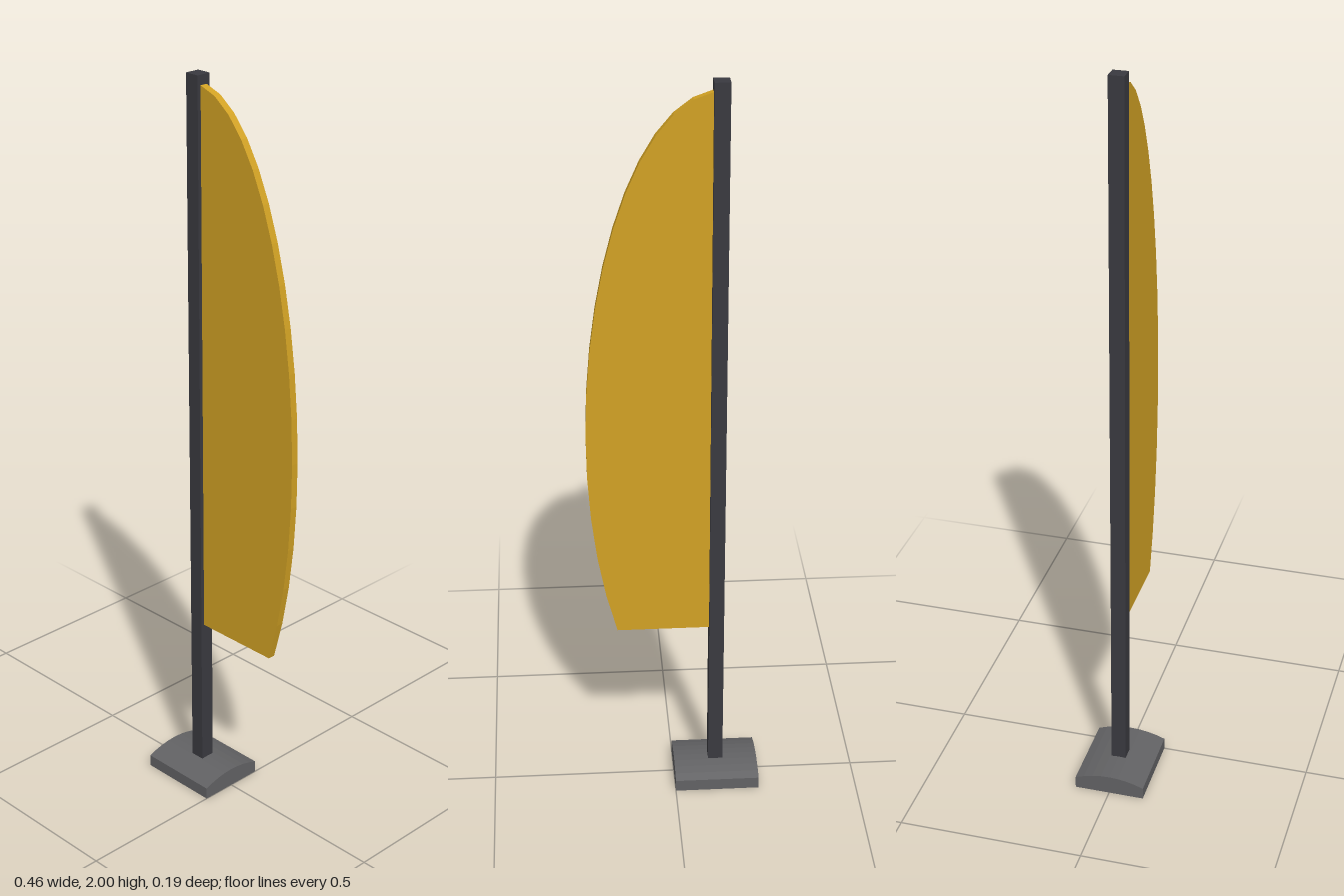
import * as THREE from 'three';

const gold = new THREE.MeshStandardMaterial({ name: 'gold cloth', color: 0xd2a224 });
const dark = new THREE.MeshStandardMaterial({ name: 'dark pole', color: 0x3a3a40 });
const grey = new THREE.MeshStandardMaterial({ name: 'grey base', color: 0x626264 });

const POLE_X = -0.115;

// Extrude a shape to the given depth, centred on z = 0
function slab(shape, depth, curveSegments) {
  const geometry = new THREE.ExtrudeGeometry(shape, { depth, curveSegments, bevelEnabled: false });
  return geometry.translate(0, 0, -depth / 2);
}

export function createModel() {
  const group = new THREE.Group();
  const add = (name, geometry, material) => {
    const mesh = new THREE.Mesh(geometry, material);
    mesh.name = name;
    group.add(mesh);
    return mesh;
  };

  // Base: block with a gently arched top, its profile running front to back
  const profile = new THREE.Shape();
  profile.moveTo(-0.095, 0);
  profile.lineTo(0.095, 0);
  profile.lineTo(0.095, 0.033);
  profile.quadraticCurveTo(0, 0.071, -0.095, 0.033);
  profile.closePath();
  const base = add('base', slab(profile, 0.23, 8), grey);
  base.rotation.y = Math.PI / 2;
  base.position.x = POLE_X;

  // Square pole
  const pole = add('pole', new THREE.BoxGeometry(0.04, 1.98, 0.04), dark);
  pole.position.set(POLE_X, 1.01, 0);

  // Feather-shaped banner
  const outline = new THREE.Shape();
  outline.moveTo(-0.097, 0.48);
  outline.lineTo(0.152, 0.48);
  outline.bezierCurveTo(0.325, 1.05, 0.18, 1.93, -0.097, 1.975);
  outline.closePath();
  add('banner', slab(outline, 0.02, 16), gold);

  return group;
}
